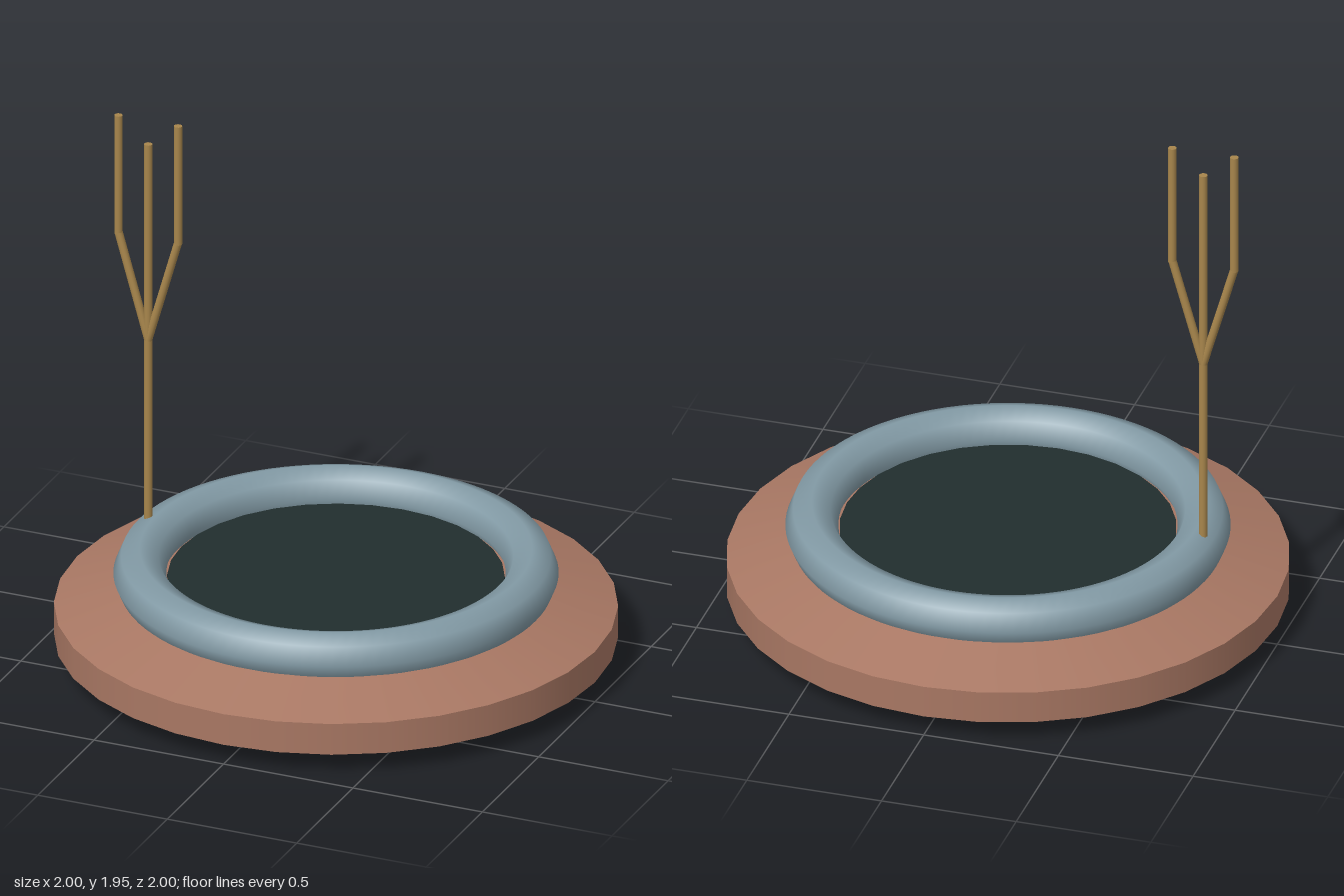
import * as THREE from 'three';

const material = (name, color) => {
  const m = new THREE.MeshStandardMaterial({ color });
  m.name = name;
  return m;
};

export function createModel() {
  const model = new THREE.Group();
  const clay = material('clay', 0xa87763);
  const blueGrey = material('blueGrey', 0x829aa5);
  const darkTeal = material('darkTeal', 0x212e2e);
  const bronze = material('bronze', 0xa8864c);

  const add = (name, geometry, mat, parent = model) => {
    const mesh = new THREE.Mesh(geometry, mat);
    mesh.name = name;
    parent.add(mesh);
    return mesh;
  };

  // Bevelled round base: lower bevel, rim, upper slope
  const base = new THREE.Group();
  base.name = 'base';
  model.add(base);
  const layer = (name, r0, y0, r1, y1) => {
    const g = new THREE.CylinderGeometry(r1, r0, y1 - y0, 32);
    add(name, g.translate(0, (y0 + y1) / 2, 0), clay, base);
  };
  layer('lowerBevel', 0.7, 0.005, 1, 0.08);
  layer('rim', 1, 0.08, 1, 0.2);
  layer('upperSlope', 1, 0.2, 0.7, 0.3);

  // Padded ring with an eight-sided section
  const ring = new THREE.TorusGeometry(0.695, 0.094, 8, 96);
  add('ring', ring.rotateX(-Math.PI / 2).translate(0, 0.323, 0), blueGrey);

  // Dark disc inside the ring
  const disc = new THREE.CylinderGeometry(0.598, 0.598, 0.02, 32);
  add('disc', disc.translate(0, 0.302, 0), darkTeal);

  // Three-pronged fork standing on the ring
  const fork = new THREE.Group();
  fork.name = 'fork';
  fork.position.x = -0.725;
  model.add(fork);
  const rod = (name, x0, y0, x1, y1) => {
    const dx = x1 - x0, dy = y1 - y0;
    const g = new THREE.CylinderGeometry(0.015, 0.015, Math.hypot(dx, dy), 12);
    const mesh = add(name, g, bronze, fork);
    mesh.position.set((x0 + x1) / 2, (y0 + y1) / 2, 0);
    mesh.rotation.z = -Math.atan2(dx, dy);
  };
  rod('shaft', 0, 0.4, 0, 1.865);
  for (const [side, label] of [[1, 'left'], [-1, 'right']]) {
    rod(label + 'Branch', 0, 1.1, side * 0.115, 1.5);
    rod(label + 'Prong', side * 0.115, 1.495, side * 0.115, 1.957);
  }

  return model;
}
